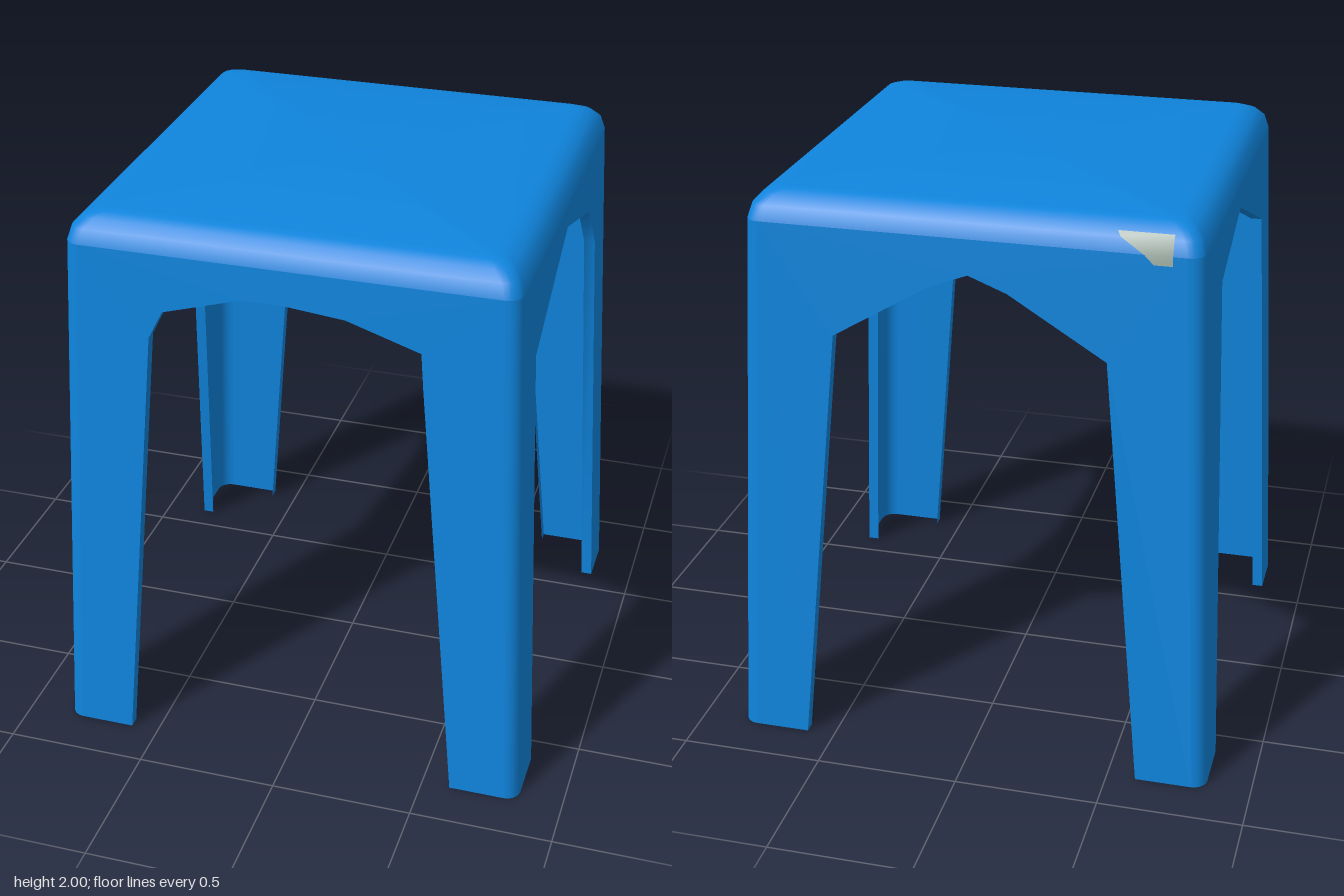
import * as THREE from 'three';
import { mergeVertices, toCreasedNormals } from 'three/addons/utils/BufferGeometryUtils.js';

const RIM = 1.9;      // height where the flat walls meet the rounded rim
const RADIUS = 0.05;  // rounding of the upright corners
const LIP = 0.04;     // depth of the folded edge around each opening
const FOOT = 0.6;     // inner edge of each leg at the floor

// Half widths of the stool; the walls lean inwards as they rise
const halfX = (y) => THREE.MathUtils.lerp(0.845, 0.757, y / RIM);
const halfZ = (y) => THREE.MathUtils.lerp(0.833, 0.757, y / RIM);

// Lower edge of the apron on each side: front, left, back, right
const arches = [
  [[-0.47, 1.6], [-0.42, 1.7], [-0.15, 1.78], [0, 1.78], [0.2, 1.76], [0.45, 1.68], [0.46, 1.55]],
  [[-0.53, 1.6], [0, 1.82], [0.41, 1.7], [0.54, 1.52]],
  [[-0.46, 1.53], [-0.13, 1.73], [0, 1.78], [0.13, 1.73], [0.46, 1.53]],
  [[-0.41, 1.7], [0, 1.82], [0.53, 1.6]],
];

// Turn (along, height, outward) on side k into a point of the model
function place(k, s, y, n) {
  return [[s, y, n], [n, y, -s], [-s, y, -n], [-n, y, s]][k];
}

function quad(out, a, b, c, d) {
  out.push(...a, ...b, ...c, ...a, ...c, ...d);
}

function build(positions, crease) {
  const g = new THREE.BufferGeometry();
  g.setAttribute('position', new THREE.Float32BufferAttribute(positions, 3));
  return toCreasedNormals(mergeVertices(g, 1e-4), crease);
}

// Rounded square outline at a given height, counter-clockwise from above
function ring(y, hx, hz, r = RADIUS) {
  const pts = [];
  const corners = [[1, 1], [1, -1], [-1, -1], [-1, 1]];
  corners.forEach(([sx, sz], k) => {
    for (let i = 0; i <= 5; i++) {
      const a = Math.PI / 2 - (k + i / 5) * Math.PI / 2;
      pts.push([sx * (hx - r) + r * Math.cos(a + 0), y, sz * (hz - r) + r * Math.sin(a)]);
    }
  });
  return pts;
}

// One side: two leg faces joined by the arched apron, with a folded lip
function sideWall(k) {
  const out = [];
  const along = k % 2 ? halfZ : halfX;
  const outward = k % 2 ? halfX : halfZ;
  const edge = [[-FOOT, 0], ...arches[k], [FOOT, 0]];
  const low = along(0) - RADIUS, high = along(RIM) - RADIUS;
  const outline = [[-low, 0], ...edge, [low, 0], [high, RIM], [-high, RIM]];
  const shape = new THREE.Shape(outline.map(([s, y]) => new THREE.Vector2(s, y)));
  const flat = new THREE.ShapeGeometry(shape).toNonIndexed().attributes.position;
  for (let i = 0; i < flat.count; i++) {
    const y = flat.getY(i);
    out.push(...place(k, flat.getX(i), y, outward(y)));
  }
  for (let i = 0; i < edge.length - 1; i++) {
    const [s0, y0] = edge[i], [s1, y1] = edge[i + 1];
    quad(out,
      place(k, s0, y0, outward(y0)), place(k, s0, y0, outward(y0) - LIP),
      place(k, s1, y1, outward(y1) - LIP), place(k, s1, y1, outward(y1)));
  }
  return out;
}

// Rounded upright corners of the four legs
function cornerStrips() {
  const out = [];
  const lower = ring(0, halfX(0), halfZ(0)), upper = ring(RIM, halfX(RIM), halfZ(RIM));
  for (let k = 0; k < 4; k++) {
    for (let i = 0; i < 5; i++) {
      const j = k * 6 + i;
      quad(out, lower[j], lower[j + 1], upper[j + 1], upper[j]);
    }
  }
  return out;
}

// Rounded rim and flat seat
function seatTop() {
  const out = [];
  const rings = [[RIM, 0.757], [1.95, 0.742], [1.98, 0.713], [1.995, 0.68], [2, 0.65]]
    .map(([y, h]) => ring(y, h, h));
  const count = rings[0].length;
  for (let r = 0; r < rings.length - 1; r++) {
    for (let i = 0; i < count; i++) {
      const j = (i + 1) % count;
      quad(out, rings[r][i], rings[r][j], rings[r + 1][j], rings[r + 1][i]);
    }
  }
  const top = rings[rings.length - 1];
  for (let i = 0; i < count; i++) {
    out.push(0, 2, 0, ...top[i], ...top[(i + 1) % count]);
  }
  return out;
}

// Small tapered label on the back rim
function labelPlate() {
  const out = [];
  const rows = [[1.87, 0.762, -0.6], [1.9, 0.761, -0.57], [1.95, 0.746, -0.49], [1.965, 0.732, -0.48]];
  for (let i = 0; i < rows.length - 1; i++) {
    const [y0, z0, x0] = rows[i], [y1, z1, x1] = rows[i + 1];
    quad(out, [x0, y0, -z0], [-0.66, y0, -z0], [-0.66, y1, -z1], [x1, y1, -z1]);
  }
  return out;
}

export function createModel() {
  const blue = new THREE.MeshStandardMaterial({ color: 0x0f84dc, side: THREE.DoubleSide });
  blue.name = 'blue plastic';
  const grey = new THREE.MeshStandardMaterial({ color: 0x9fafa6, side: THREE.DoubleSide });
  grey.name = 'grey label';

  const group = new THREE.Group();
  group.name = 'stool';
  const add = (name, positions, material) => {
    const mesh = new THREE.Mesh(build(positions, 0.7), material);
    mesh.name = name;
    group.add(mesh);
  };

  ['frontWall', 'leftWall', 'backWall', 'rightWall'].forEach((name, k) => add(name, sideWall(k), blue));
  add('legCorners', cornerStrips(), blue);
  add('seat', seatTop(), blue);
  add('label', labelPlate(), grey);
  return group;
}
